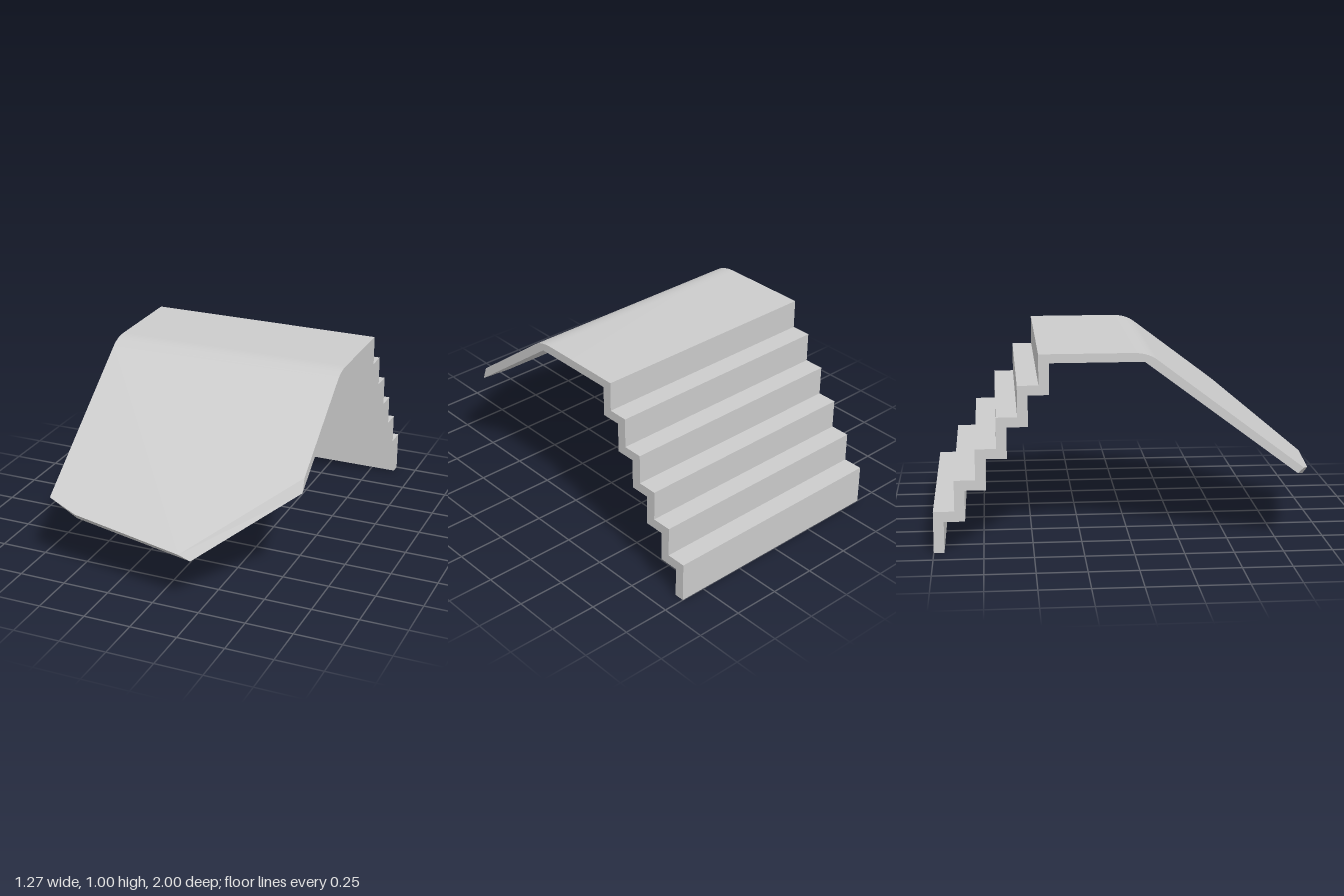
import * as THREE from 'three';
import { toCreasedNormals } from 'three/addons/utils/BufferGeometryUtils.js';

const HALF = 0.635; // half width
const material = new THREE.MeshStandardMaterial({ color: 0xcccccc });

// Folded sheet: stairs, flat top and the rounded bend, drawn in (z, y) and extruded across x
function createStairs() {
  const steps = 5, run = 0.1065, rise = 0.158;
  const s = new THREE.Shape();
  s.moveTo(0.093, 0.929);
  s.lineTo(0.12, 0.965);
  s.quadraticCurveTo(0.073, 1, 0, 1);
  // outer side, going down
  s.lineTo(-0.467, 1);
  for (let i = 0; i < steps; i++) {
    const y = 0.845 - i * rise;
    s.lineTo(-0.467 - i * run, y);
    s.lineTo(-0.467 - (i + 1) * run, y);
  }
  s.lineTo(-1, 0);
  // inner side, going back up
  s.lineTo(-0.947, 0);
  for (let i = 0; i < steps; i++) {
    const y = 0.16 + i * 0.159;
    s.lineTo(-0.947 + i * run, y);
    s.lineTo(-0.947 + (i + 1) * run, y);
  }
  s.lineTo(-0.415, 0.955);
  s.lineTo(0.058, 0.955);
  s.closePath();
  const geo = new THREE.ExtrudeGeometry(s, { depth: 2 * HALF, bevelEnabled: false, curveSegments: 8 });
  geo.rotateY(-Math.PI / 2).translate(HALF, 0, 0);
  return toCreasedNormals(geo, 0.4);
}

// Sloping slab with an irregular cut end: matching outlines on its upper and lower planes
function createRamp() {
  const onPlane = (z0, y0, slope) => ([x, y]) => [x, y, z0 + (y0 - y) / slope];
  const upper = [[-HALF, 0.965], [-HALF, 0.40], [-0.465, 0.36], [0.145, 0.30], [HALF, 0.62], [HALF, 0.965]]
    .map(onPlane(0.12, 0.965, 0.756));
  const lower = [[-HALF, 0.929], [-HALF, 0.372], [-0.465, 0.328], [0.2, 0.265], [HALF, 0.548], [HALF, 0.929]]
    .map(onPlane(0.093, 0.929, 0.749));
  const pos = [];
  const tri = (a, b, c) => pos.push(...a, ...b, ...c);
  for (let i = 1; i < 5; i++) {
    tri(upper[0], upper[i], upper[i + 1]);
    tri(lower[0], lower[i + 1], lower[i]);
  }
  for (let i = 0; i < 5; i++) {
    tri(upper[i], lower[i], lower[i + 1]);
    tri(upper[i], lower[i + 1], upper[i + 1]);
  }
  const geo = new THREE.BufferGeometry();
  geo.setAttribute('position', new THREE.Float32BufferAttribute(pos, 3));
  geo.computeVertexNormals();
  return geo;
}

export function createModel() {
  const group = new THREE.Group();
  const add = (name, geo) => {
    const mesh = new THREE.Mesh(geo, material);
    mesh.name = name;
    group.add(mesh);
  };
  add('stairsAndTop', createStairs());
  add('ramp', createRamp());
  return group;
}
